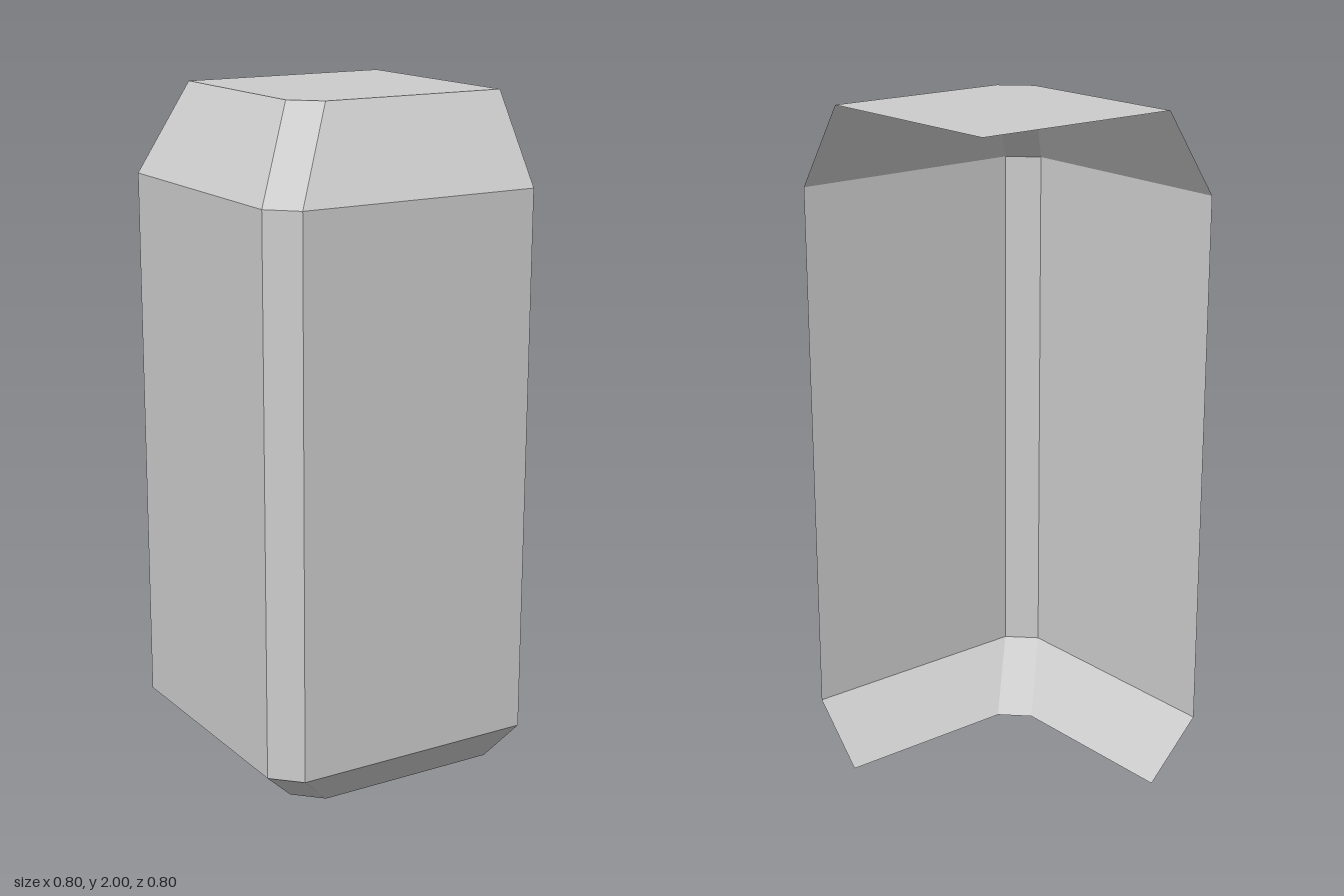
import * as THREE from 'three';

const HALF = 0.4;      // half width and depth
const CHAMFER = 0.076; // cut of the vertical corner
const INSET = 0.167;   // how far the bevels lean in

// Open outline at height y: front edge, chamfered corner, side edge
const outline = (y, d) => [
  [HALF, y, HALF - d],
  [-HALF + CHAMFER + d, y, HALF - d],
  [-HALF + d, y, HALF - CHAMFER - d],
  [-HALF + d, y, -HALF],
].map(p => new THREE.Vector3(...p));

// Flat panel from a convex loop of corners, counter-clockwise from outside
function panel(name, corners, material) {
  const points = [];
  for (let i = 1; i < corners.length - 1; i++) points.push(corners[0], corners[i], corners[i + 1]);
  const geometry = new THREE.BufferGeometry().setFromPoints(points);
  geometry.computeVertexNormals();
  const mesh = new THREE.Mesh(geometry, material);
  mesh.name = name;
  return mesh;
}

export function createModel() {
  const group = new THREE.Group();
  group.name = 'bevelledCornerShell';
  const material = new THREE.MeshStandardMaterial({
    color: 0xcccccc, flatShading: true, side: THREE.DoubleSide,
  });

  const rings = [outline(0, INSET), outline(0.165, 0), outline(1.75, 0), outline(2, INSET)];
  const bands = ['lowerBevel', 'wall', 'upperBevel'];
  const sides = ['Front', 'Corner', 'Side'];

  // Bevels and walls between neighbouring outlines
  bands.forEach((band, r) => {
    const low = rings[r], high = rings[r + 1];
    sides.forEach((side, i) => {
      group.add(panel(band + side, [low[i], high[i], high[i + 1], low[i + 1]], material));
    });
  });

  // Top cap; the bottom, back and left stay open
  const [a, b, c, d] = rings[3];
  group.add(panel('topCap', [a, new THREE.Vector3(HALF, 2, -HALF), d, c, b], material));
  return group;
}
